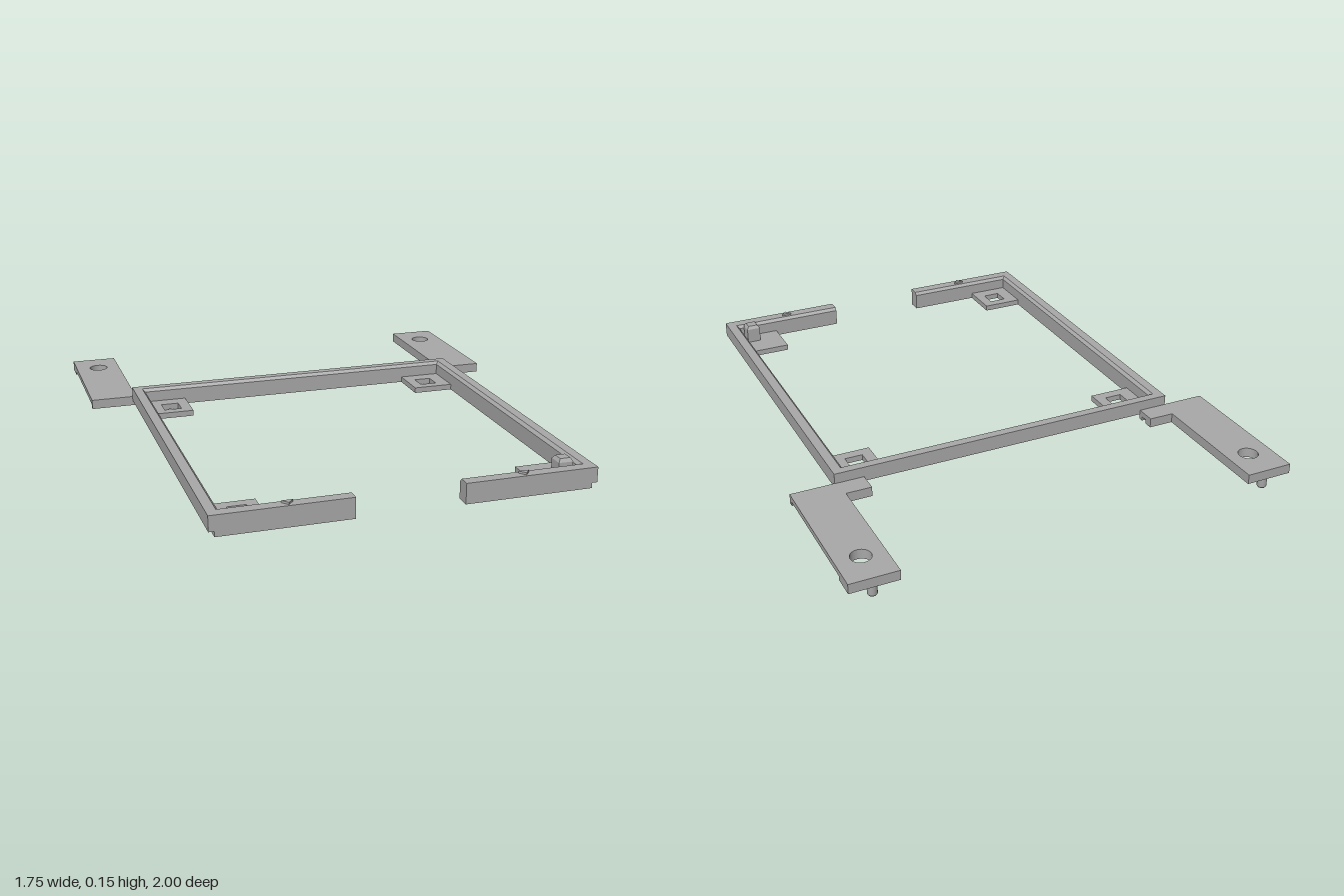
import * as THREE from 'three';

const grey = new THREE.MeshStandardMaterial({ color: 0xa8a8a8 });
grey.name = 'plain grey';

const BASE = 0.052, STEP = 0.072, TOP = 0.13;

function part(name, geometry, parent) {
  const mesh = new THREE.Mesh(geometry, grey);
  mesh.name = name;
  parent.add(mesh);
  return mesh;
}

// Horizontal plate from an outline of [x, z] points, with optional hole paths
function slab(points, y0, y1, holes = []) {
  const shape = new THREE.Shape(points.map(([x, z]) => new THREE.Vector2(x, z)));
  shape.holes.push(...holes);
  return new THREE.ExtrudeGeometry(shape, { depth: y1 - y0, bevelEnabled: false, curveSegments: 24 })
    .rotateX(Math.PI / 2).translate(0, y1, 0);
}

function rect(x0, x1, z0, z1) {
  return [[x0, z0], [x1, z0], [x1, z1], [x0, z1]];
}

function path(points) {
  return new THREE.Path(points.map(([x, z]) => new THREE.Vector2(x, z)));
}

// Open frame: a mitred section swept round the corners, with a gap in the front
function frameGeometry() {
  // insets from the side, back and front faces, then height
  const section = [
    [0, 0, 0, STEP], [0, 0, 0, TOP], [0.037, 0.034, 0.044, TOP], [0.048, 0.045, 0.055, 0.118],
    [0.048, 0.045, 0.055, BASE], [0.02, 0.035, 0, BASE], [0.02, 0.035, 0, STEP],
  ];
  const rings = [
    ([, , f, y]) => [0.2, y, 1 - f],
    ([s, , f, y]) => [0.705 - s, y, 1 - f],
    ([s, b, , y]) => [0.705 - s, y, b - 0.412],
    ([s, b, , y]) => [s - 0.705, y, b - 0.412],
    ([s, , f, y]) => [s - 0.705, y, 1 - f],
    ([, , f, y]) => [-0.2, y, 1 - f],
  ].map((place) => section.map(place));
  const pos = [];
  const n = section.length;
  for (let i = 0; i < rings.length - 1; i++) {
    for (let j = 0; j < n; j++) {
      const k = (j + 1) % n;
      const a = rings[i][j], b = rings[i + 1][j], c = rings[i + 1][k], d = rings[i][k];
      pos.push(...a, ...b, ...c, ...a, ...c, ...d);
    }
  }
  // rectangular-ended caps beside the gap
  const cap = [0, 1, 2, 3, 4, 5];
  for (const [ring, flip] of [[rings[0], false], [rings[5], true]]) {
    for (let i = 1; i < cap.length - 1; i++) {
      const tri = [ring[0], ring[cap[i]], ring[cap[i + 1]]];
      if (flip) tri.reverse();
      pos.push(...tri.flat());
    }
  }
  const g = new THREE.BufferGeometry();
  g.setAttribute('position', new THREE.Float32BufferAttribute(pos, 3));
  g.computeVertexNormals();
  return g;
}

function squareHole(x, z) {
  const h = 0.035;
  return path(rect(x - h, x + h, z - h, z + h));
}

// Rear mounting tab with round hole, undercut outer edge, groove and pin
function addTab(parent, side) {
  const tab = new THREE.Group();
  tab.name = side > 0 ? 'leftTab' : 'rightTab';
  parent.add(tab);
  const m = (pts) => pts.map(([x, z]) => [x * side, z]);
  const hole = () => new THREE.Path().absarc(side * 0.78, -0.87, 0.038, 0, Math.PI * 2);
  part('tabPlate', slab(m([[0.59, -0.41], [0.59, -0.49], [0.69, -0.49], [0.69, -1], [0.875, -1], [0.875, -0.41]]),
    0.068, 0.09, [hole()]), tab);
  part('tabUnderside', slab(m([[0.59, -0.455], [0.59, -0.49], [0.69, -0.49], [0.69, -1], [0.875, -1],
    [0.875, -0.915], [0.855, -0.915], [0.855, -0.455]]), BASE, 0.068, [hole()]), tab);
  part('tabLip', slab(m(rect(0.59, 0.875, -0.43, -0.41)), BASE, 0.068), tab);
  const pin = part('tabPin', new THREE.LatheGeometry([[0, 0], [0.014, 0], [0.018, 0.006], [0.018, 0.055]]
    .map(([r, y]) => new THREE.Vector2(r, y)), 24), tab);
  pin.position.set(side * 0.78, 0, -0.967);
}

export function createModel() {
  const model = new THREE.Group();
  model.name = 'mountingFrame';
  part('frame', frameGeometry(), model);

  for (const side of [-1, 1]) {
    addTab(model, side);

    // corner pads; the front left one carries a post instead of a hole
    for (const [z0, z1, hz, end] of [[-0.37, -0.2, -0.275, 'back'], [0.782, 0.95, 0.857, 'front']]) {
      const solid = side > 0 && end === 'front';
      const outline = rect(0.49, 0.66, z0, z1).map(([x, z]) => [x * side, z]);
      part(end + 'Pad', slab(outline, BASE, 0.075, solid ? [] : [squareHole(side * 0.567, hz)]), model);
    }

    // raised triangular marks on the front rail
    const x = side * 0.43;
    part('frontMark', slab([[x - 0.02, 0.968], [x + 0.02, 0.968], [x, 0.992]], TOP, 0.138), model);
  }

  // square post with a tapered top
  const post = part('post', new THREE.BoxGeometry(0.056, 0.062, 0.056), model);
  post.position.set(0.612, 0.104, 0.908);
  const tip = part('postTip', new THREE.CylinderGeometry(0.028, 0.04, 0.013, 4, 1)
    .rotateY(Math.PI / 4).toNonIndexed(), model);
  tip.geometry.computeVertexNormals();
  tip.position.set(0.612, 0.1415, 0.908);

  return model;
}
